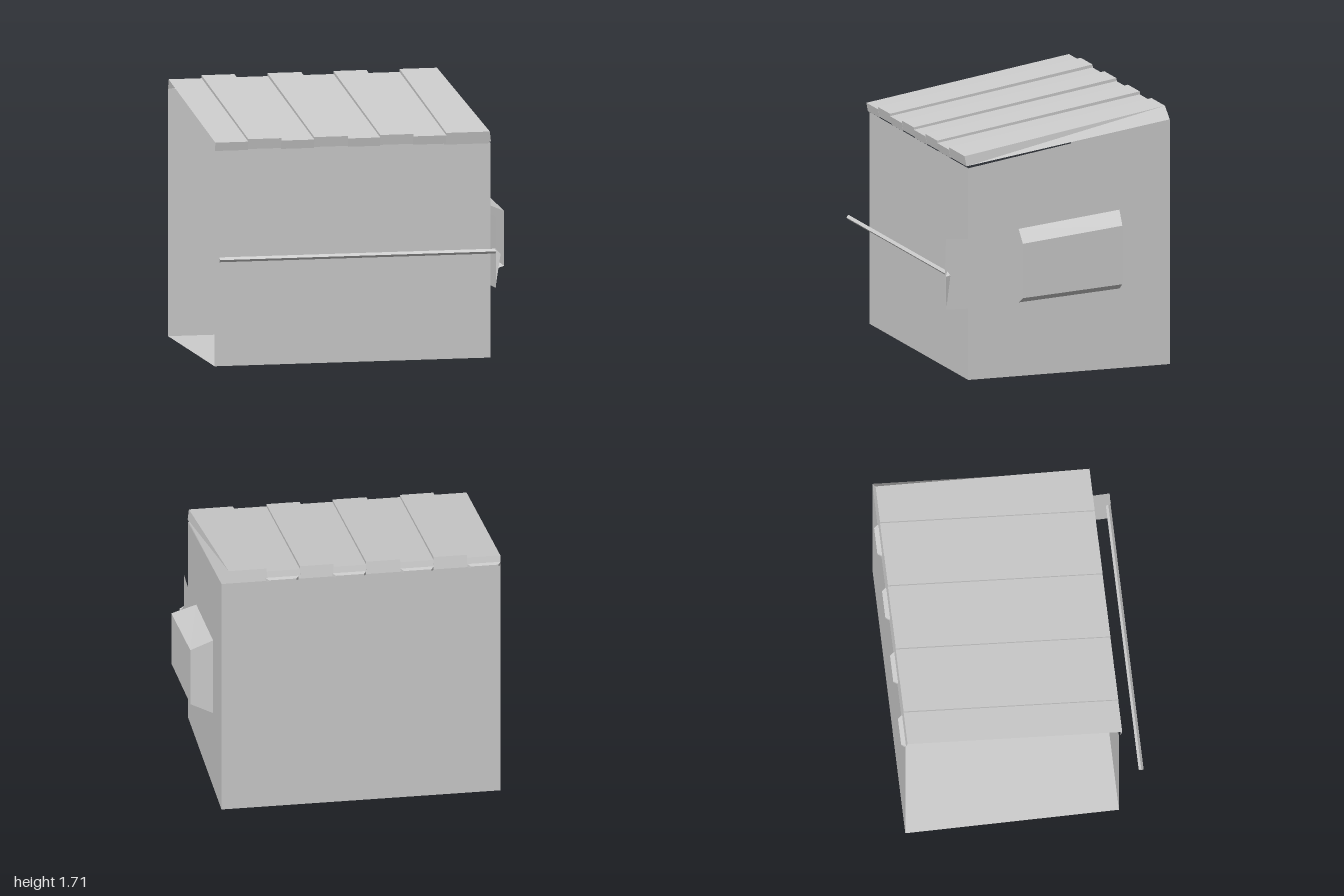
import * as THREE from 'three';

const material = new THREE.MeshStandardMaterial({ color: 0xcccccc, flatShading: true, side: THREE.DoubleSide });

// Mesh from a list of polygons (corners counter-clockwise seen from outside)
function faces(name, polygons) {
  const pos = [];
  for (const p of polygons)
    for (let i = 1; i < p.length - 1; i++) pos.push(...p[0], ...p[i], ...p[i + 1]);
  const g = new THREE.BufferGeometry();
  g.setAttribute('position', new THREE.Float32BufferAttribute(pos, 3));
  g.computeVertexNormals();
  const mesh = new THREE.Mesh(g, material);
  mesh.name = name;
  return mesh;
}

// Strips joining two rings of equal length
function bridge(a, b, closed = true) {
  const out = [];
  for (let i = 0; i < a.length - (closed ? 0 : 1); i++) {
    const j = (i + 1) % a.length;
    out.push([a[i], a[j], b[j], b[i]]);
  }
  return out;
}

const L = -1, R = 0.84, F = 0.63, B = -0.77;
const FRONT_TOP = 1.41, BACK_TOP = 1.63;

// Container shell, open on the -x side
function makeBody() {
  const fl = [L, 0, F], fr = [R, 0, F], br = [R, 0, B], bl = [L, 0, B];
  const tfl = [L, FRONT_TOP, F], tfr = [R, FRONT_TOP, F], tbr = [R, BACK_TOP, B], tbl = [L, BACK_TOP, B];
  return faces('containerBody', [
    [fl, fr, tfr, tfl], [fr, br, tbr, tfr], [br, bl, tbl, tbr], [fl, bl, br, fr],
  ]);
}

// Ribbed sloping lid with front, rear and side skirts
function makeLid() {
  const edges = [L, -0.78, -0.56, -0.34, -0.115, 0.1, 0.32, 0.54, R];
  const section = (x, raised) => {
    const end = x === R;
    const h = raised ? 0.02 : 0;
    return [
      [x, 1.418 + h * 0.3, 0.642],
      [end ? 0.83 : x, 1.474 + h * 0.8, 0.652],
      [end ? 0.79 : x, 1.692 + h, -0.755],
      [x, BACK_TOP, B],
    ];
  };
  const polygons = [];
  let last = null;
  for (let i = 0; i < edges.length - 1; i++) {
    const a = section(edges[i], i % 2 === 1), b = section(edges[i + 1], i % 2 === 1);
    if (last) polygons.push(...bridge(a, last, false)); // step between strips
    polygons.push(...bridge(b, a, false));
    last = b;
  }
  polygons.push([last[0], last[3], last[2], last[1]]);
  return faces('lid', polygons);
}

// Tapered hinge tabs behind the low lid strips
function makeHinges() {
  const group = new THREE.Group();
  group.name = 'hingeTabs';
  for (const [x0, x1] of [[-1, -0.78], [-0.56, -0.34], [-0.115, 0.11], [0.33, 0.55]]) {
    const ring = (z, inset, y0, y1) => [
      [x0 + inset, y0, z], [x0 + inset, y1, z], [x1 - inset, y1, z], [x1 - inset, y0, z],
    ];
    const near = ring(B + 0.005, 0, 1.625, 1.65), far = ring(-0.795, 0.02, 1.632, 1.645);
    group.add(faces('hingeTab', [...bridge(near, far), far]));
  }
  return group;
}

// Lifting pocket on the side, open toward the front
function makePocket() {
  const front = [[R, 0.98, 0.28], [1, 0.915, 0.31], [1, 0.553, 0.31], [R, 0.49, 0.28]];
  const back = [[R, 1.055, -0.42], [0.985, 0.98, -0.387], [0.985, 0.59, -0.387], [R, 0.53, -0.42]];
  return faces('liftPocket', [...bridge(front, back, false), back]);
}

// Plate extending the side wall forward to carry the bar
function makeBracket() {
  const profile = [[F, 0.475], [F, 0.94], [0.785, 0.95], [0.792, 0.72], [0.785, 0.48]];
  return faces('barBracket', [profile.map(([z, y]) => [R, y, z])]);
}

// Diamond-section front bar, with a small gusset at its end
function makeBar() {
  const group = new THREE.Group();
  group.name = 'frontBar';
  const length = R - L;
  const bar = new THREE.Mesh(new THREE.CylinderGeometry(0.016, 0.016, length, 4), material);
  bar.name = 'bar';
  bar.rotation.z = Math.PI / 2;
  bar.position.set((L + R) / 2, 0.721, 0.776);
  const a = [R, 0.735, 0.776], b = [0.87, 0.706, 0.797], c = [0.865, 0.712, 0.763], d = [R, 0.487, 0.782];
  group.add(bar, faces('barGusset', [[a, b, c], [a, d, b], [b, d, c], [a, c, d]]));
  return group;
}

export function createModel() {
  const model = new THREE.Group();
  model.name = 'wasteContainer';
  model.add(makeBody(), makeLid(), makeHinges(), makePocket(), makeBracket(), makeBar());
  return model;
}
